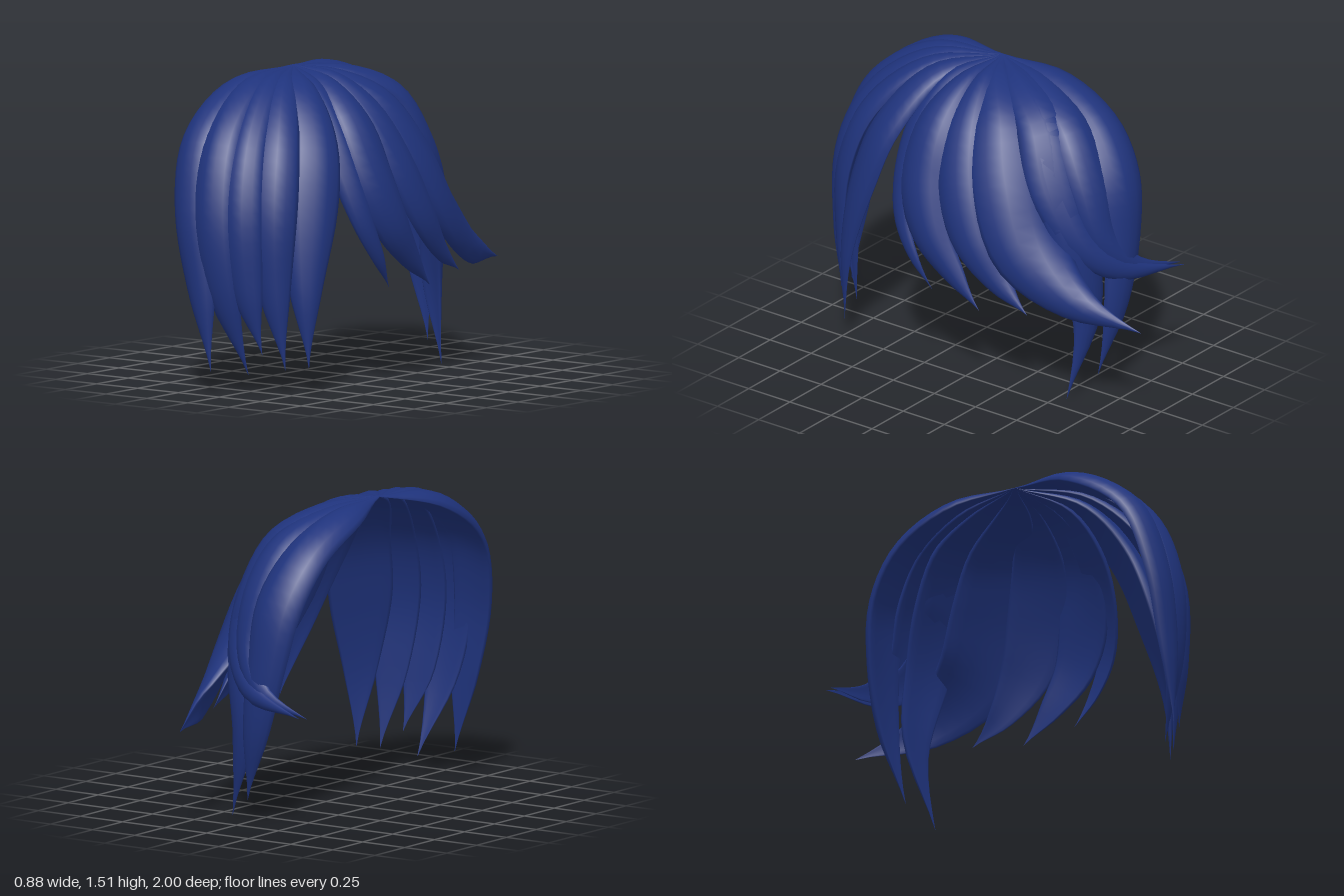
import * as THREE from 'three';

const CROWN = [-0.22, 1.51, 0.13];
const HEAD = new THREE.Vector3(-0.2, 0.7, 0.1);
const SEGMENTS = 28, SIDES = 14;

// A lock: flattened tube from the crown through the points to a sharp tip.
// Each point is x, y, z, half width; the broad side faces away from the head.
function lockGeometry(points) {
  const all = [[...CROWN, 0.008], ...points];
  const path = new THREE.CatmullRomCurve3(all.map(p => new THREE.Vector3(p[0], p[1], p[2])));
  const widths = new THREE.SplineCurve(all.map((p, i) => new THREE.Vector2(i, p[3])));
  const pos = [], index = [];
  for (let i = 0; i <= SEGMENTS; i++) {
    const t = i / SEGMENTS;
    const p = path.getPoint(t), tangent = path.getTangent(t);
    const out = p.clone().sub(HEAD);
    out.addScaledVector(tangent, -out.dot(tangent)).normalize();
    const across = out.clone().cross(tangent);
    const w = Math.max(widths.getPoint(t).y, 0.0005);
    for (let j = 0; j < SIDES; j++) {
      const a = j / SIDES * Math.PI * 2, c = Math.cos(a), s = Math.sin(a);
      // rounded outside, flatter inside, edges curled towards the head
      const lift = w * ((s > 0 ? 0.4 : 0.2) * s - 0.22 * c * c);
      const v = p.clone().addScaledVector(across, w * c).addScaledVector(out, lift);
      pos.push(v.x, Math.max(v.y, 0), v.z);
    }
  }
  for (let i = 0; i < SEGMENTS; i++) {
    for (let j = 0; j < SIDES; j++) {
      const a = i * SIDES + j, b = i * SIDES + (j + 1) % SIDES;
      index.push(a, b, a + SIDES, b, b + SIDES, a + SIDES);
    }
  }
  const g = new THREE.BufferGeometry();
  g.setAttribute('position', new THREE.Float32BufferAttribute(pos, 3));
  g.setIndex(index);
  g.computeVertexNormals();
  return g;
}

// Long fringe, from the parting round to the temple
const FRONT = [
  [[-0.26, 1.44, 0.51, 0.11], [-0.26, 1.23, 0.82, 0.115], [-0.22, 0.9, 0.94, 0.11], [-0.15, 0.5, 0.96, 0.08], [-0.09, 0.11, 0.95, 0]],
  [[-0.18, 1.45, 0.52, 0.09], [-0.13, 1.23, 0.82, 0.11], [-0.09, 0.9, 0.94, 0.12], [-0.04, 0.5, 0.93, 0.09], [0.04, 0.09, 0.82, 0]],
  [[-0.11, 1.45, 0.49, 0.08], [-0.01, 1.22, 0.77, 0.1], [0.04, 0.9, 0.89, 0.115], [0.08, 0.5, 0.89, 0.08], [0.14, 0.2, 0.84, 0]],
  [[-0.05, 1.44, 0.45, 0.08], [0.09, 1.21, 0.68, 0.12], [0.15, 0.9, 0.79, 0.13], [0.18, 0.5, 0.8, 0.08], [0.22, 0.12, 0.76, 0]],
  [[0.0, 1.43, 0.37, 0.1], [0.17, 1.2, 0.52, 0.15], [0.24, 0.9, 0.62, 0.155], [0.29, 0.5, 0.69, 0.08], [0.31, 0.13, 0.69, 0]],
];

// Shorter side locks sweeping backwards
const SIDE = [
  [[0.0, 1.44, 0.27, 0.07], [0.17, 1.26, 0.33, 0.1], [0.29, 1.03, 0.34, 0.09], [0.36, 0.8, 0.31, 0.06], [0.38, 0.62, 0.22, 0.035], [0.36, 0.47, 0.12, 0]],
  [[0.02, 1.45, 0.18, 0.07], [0.21, 1.28, 0.22, 0.13], [0.33, 1.02, 0.21, 0.15], [0.39, 0.79, 0.12, 0.12], [0.39, 0.6, -0.03, 0.065], [0.38, 0.45, -0.18, 0]],
  [[0.0, 1.46, 0.08, 0.07], [0.18, 1.3, 0.03, 0.13], [0.3, 1.06, -0.04, 0.155], [0.36, 0.81, -0.15, 0.13], [0.36, 0.61, -0.3, 0.065], [0.35, 0.49, -0.45, 0]],
];

// Broad lock flicking out to a point behind
const FLICK = [
  [[-0.05, 1.46, 0.02, 0.09], [0.1, 1.33, -0.14, 0.17], [0.21, 1.09, -0.26, 0.21], [0.27, 0.8, -0.41, 0.19], [0.25, 0.58, -0.68, 0.095], [0.16, 0.48, -1, 0]],
];

// Long locks hanging at the nape
const BACK = [
  [[-0.1, 1.46, -0.1, 0.1], [0.01, 1.35, -0.32, 0.16], [0.08, 1.1, -0.47, 0.17], [0.1, 0.8, -0.57, 0.13], [0.07, 0.42, -0.61, 0.08], [0.165, 0, -0.55, 0]],
  [[-0.24, 1.46, -0.19, 0.1], [-0.21, 1.32, -0.48, 0.13], [-0.16, 1.09, -0.64, 0.14], [-0.12, 0.8, -0.69, 0.12], [-0.06, 0.45, -0.69, 0.08], [0.02, 0.1, -0.63, 0]],
];

// Locks curling across the back of the head
const CURL = [
  [[-0.15, 1.46, -0.15, 0.09], [-0.05, 1.34, -0.42, 0.12], [0.0, 1.11, -0.57, 0.125], [0.0, 0.84, -0.66, 0.085], [-0.13, 0.66, -0.73, 0.055], [-0.44, 0.575, -0.78, 0]],
  [[-0.08, 1.46, -0.1, 0.1], [0.03, 1.34, -0.33, 0.15], [0.1, 1.09, -0.46, 0.16], [0.09, 0.83, -0.6, 0.1], [-0.06, 0.66, -0.72, 0.06], [-0.42, 0.58, -0.82, 0]],
];

export function createModel() {
  const model = new THREE.Group();
  model.name = 'hair';
  const material = new THREE.MeshStandardMaterial({ color: 0x1f337c });
  const sets = { frontLock: FRONT, sideLock: SIDE, flickLock: FLICK, backLock: BACK, curlLock: CURL };
  for (const [name, locks] of Object.entries(sets)) {
    const group = new THREE.Group();
    group.name = name + 's';
    locks.forEach((points, i) => {
      const mesh = new THREE.Mesh(lockGeometry(points), material);
      mesh.name = name + (i + 1);
      group.add(mesh);
    });
    model.add(group);
  }
  return model;
}
